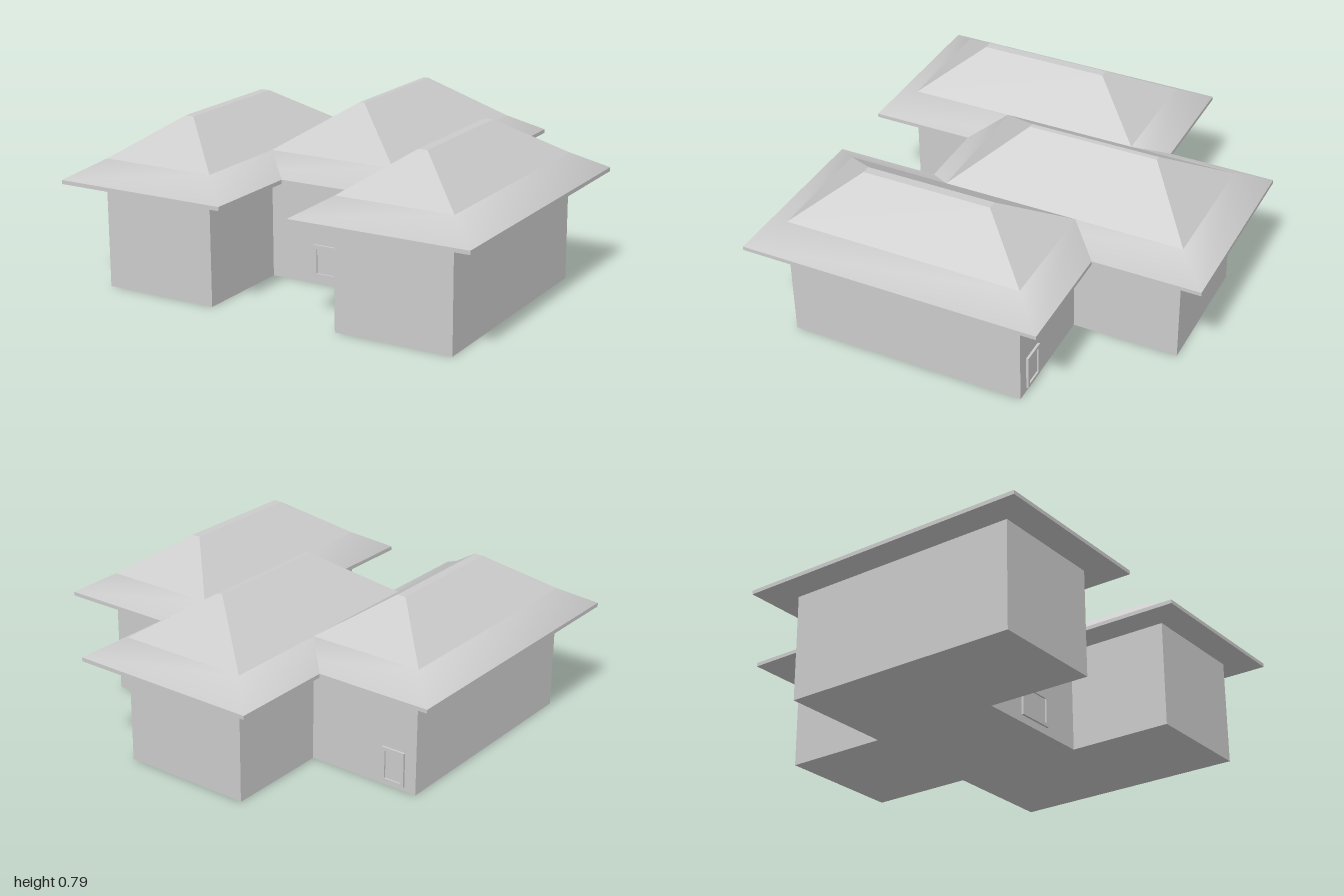
import * as THREE from 'three';
import { toCreasedNormals } from 'three/addons/utils/BufferGeometryUtils.js';

const grey = new THREE.MeshStandardMaterial({ color: 0xcccccc });

function addMesh(parent, name, geometry) {
  const mesh = new THREE.Mesh(geometry, grey);
  mesh.name = name;
  parent.add(mesh);
  return mesh;
}

// Stack of rectangles [x0, x1, z0, z1, y] joined by four-sided bands
function loft(rings, capBottom, capTop) {
  const corners = rings.map(([x0, x1, z0, z1, y]) =>
    [[x0, y, z1], [x1, y, z1], [x1, y, z0], [x0, y, z0]]);
  const pos = [];
  const quad = (a, b, c, d) => pos.push(...a, ...b, ...c, ...a, ...c, ...d);
  for (let r = 0; r < corners.length - 1; r++) {
    const lo = corners[r], hi = corners[r + 1];
    for (let i = 0; i < 4; i++) {
      const j = (i + 1) % 4;
      quad(lo[i], lo[j], hi[j], hi[i]);
    }
  }
  if (capBottom) quad(...[...corners[0]].reverse());
  if (capTop) quad(...corners[corners.length - 1]);
  const g = new THREE.BufferGeometry();
  g.setAttribute('position', new THREE.Float32BufferAttribute(pos, 3));
  g.computeVertexNormals();
  return g;
}

// Hipped roof: steep upper part above the walls, flared eaves around it
function hipRoof(name, [x0, x1, z0, z1], ridge) {
  const roof = new THREE.Group();
  roof.name = name;
  const o = 0.142;
  const eave = [x0 - o, x1 + o, z0 - o, z1 + o];
  const knee = [x0, x1, z0, z1, 0.592];
  addMesh(roof, 'upperRoof', loft([knee, ridge], false, true));
  addMesh(roof, 'eaves', toCreasedNormals(loft([[...eave, 0.508], knee], false, false), Math.PI / 4));
  addMesh(roof, 'fascia', loft([[...eave, 0.49], [...eave, 0.508]], true, false));
  return roof;
}

// Frame with a recessed pane, facing +z, standing at its bottom centre
function windowUnit(name, w, h) {
  const unit = new THREE.Group();
  unit.name = name;
  const rect = (s, a, b, c, d) => s.moveTo(a, b).lineTo(c, b).lineTo(c, d).lineTo(a, d).closePath();
  const t = 0.016;
  const shape = rect(new THREE.Shape(), -w / 2, 0, w / 2, h);
  shape.holes.push(rect(new THREE.Path(), -w / 2 + t, t, w / 2 - t, h - t));
  addMesh(unit, 'frame', new THREE.ExtrudeGeometry(shape, { depth: 0.011, bevelEnabled: false }));
  addMesh(unit, 'pane', new THREE.BoxGeometry(w - 2 * t, h - 2 * t, 0.004)).position.set(0, h / 2, 0.001);
  return unit;
}

export function createModel() {
  const house = new THREE.Group();
  house.name = 'house';

  // Walls: one footprint of a central hall with two forward wings (x, z)
  const half = [[0.31, 0.32], [0.31, 0.81], [0.86, 0.81], [0.86, -0.31], [0.31, -0.31], [0.31, -0.81]];
  const outline = [...half, ...half.map(([x, z]) => [-x, z]).reverse()];
  const plan = new THREE.Shape(outline.map(([x, z]) => new THREE.Vector2(x, -z)));
  const walls = new THREE.ExtrudeGeometry(plan, { depth: 0.5, bevelEnabled: false });
  walls.rotateX(-Math.PI / 2);
  addMesh(house, 'walls', walls);

  // Roofs
  house.add(hipRoof('centreRoof', [-0.31, 0.31, -0.81, 0.32], [-0.012, 0.012, -0.56, 0.05, 0.792]));
  house.add(hipRoof('leftWingRoof', [0.31, 0.858, -0.31, 0.805], [0.563, 0.605, -0.05, 0.56, 0.766]));
  house.add(hipRoof('rightWingRoof', [-0.858, -0.31, -0.31, 0.805], [-0.605, -0.563, -0.05, 0.56, 0.766]));

  // Windows: one in the centre front, one at the back of each wing
  const front = windowUnit('frontWindow', 0.19, 0.15);
  front.position.set(0.005, 0.035, 0.32);
  house.add(front);
  for (const side of [1, -1]) {
    const back = windowUnit(side > 0 ? 'leftBackWindow' : 'rightBackWindow', 0.115, 0.165);
    back.position.set(side * 0.745, 0.02, -0.31);
    back.rotation.y = Math.PI;
    house.add(back);
  }
  return house;
}
